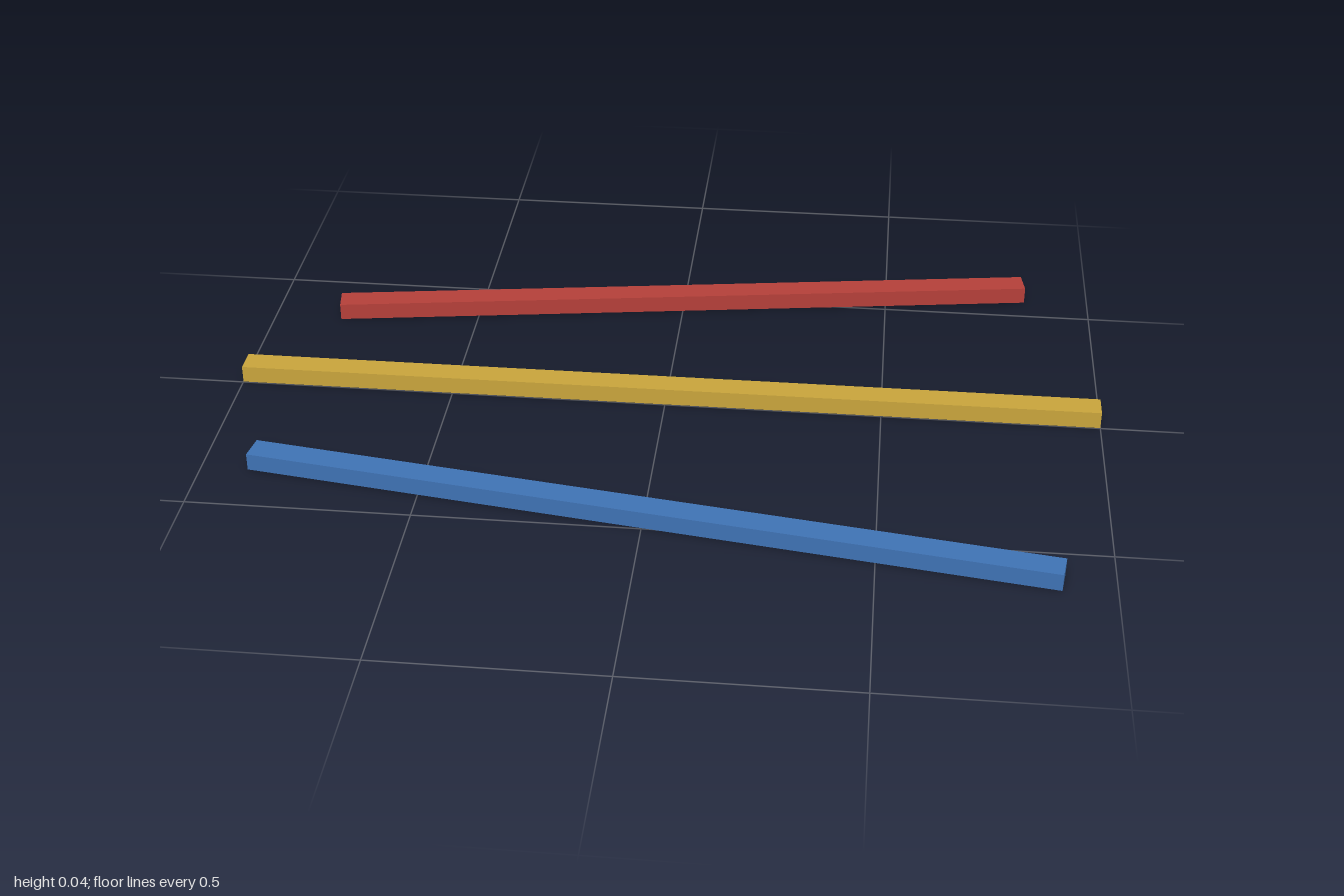
import * as THREE from 'three';

export function createModel() {
  const model = new THREE.Group();
  model.name = 'threeBars';

  const width = 0.06;
  const height = 0.04;

  // One square-cut bar lying flat, turned about the vertical axis
  function addBar(name, colorName, color, length, z, turn) {
    const material = new THREE.MeshStandardMaterial({ color });
    material.name = colorName;
    const bar = new THREE.Mesh(new THREE.BoxGeometry(length, height, width), material);
    bar.name = name;
    bar.position.set(0, height / 2, z);
    bar.rotation.y = turn;
    model.add(bar);
  }

  // Straight middle bar with one splayed bar on each side
  addBar('middleBar', 'yellow', 0xc9a53c, 2, -0.032, 0);
  addBar('frontBar', 'blue', 0x3f73b5, 1.8, 0.467, -0.15);
  addBar('backBar', 'red', 0xb5403a, 1.7, -0.472, 0.15);

  return model;
}
